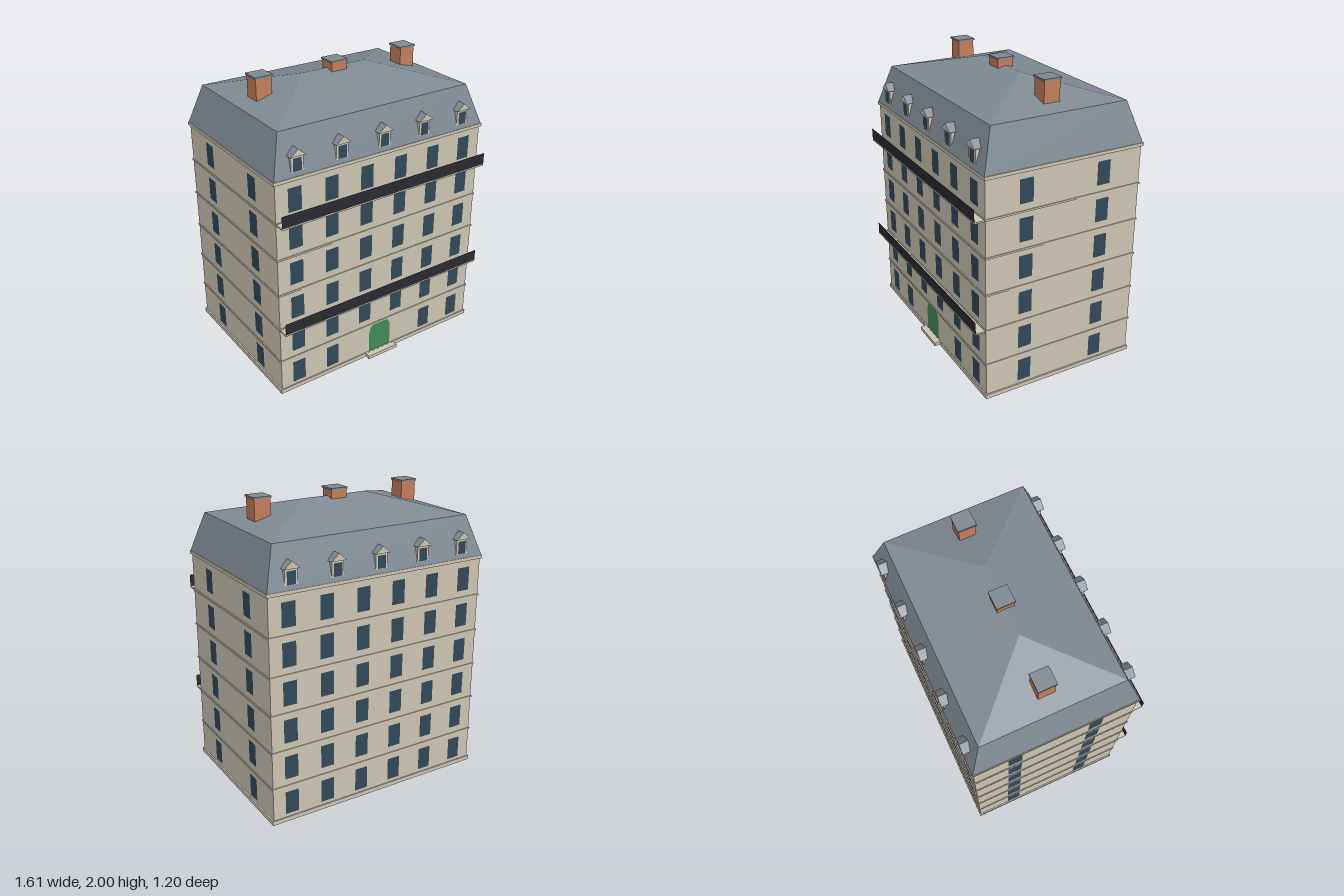
import * as THREE from 'three';

const mat = (name, color, extra = {}) => Object.assign(new THREE.MeshStandardMaterial({ color, ...extra }), { name });

export function createModel() {
  const stone = mat('stone', 0xcdc5b3);
  const glass = mat('window glass', 0x304859);
  const slate = mat('slate', 0x7f8a93, { flatShading: true });
  const brick = mat('brick', 0xc47d5b);
  const green = mat('door green', 0x428a5a);
  const iron = mat('railing iron', 0x292932, { side: THREE.DoubleSide });

  const model = new THREE.Group();
  model.name = 'apartmentBuilding';
  // The building's own axis lies slightly behind the origin because of the balconies
  const house = new THREE.Group();
  house.name = 'house';
  house.position.z = -0.03;
  model.add(house);

  const add = (parent, name, geometry, material, x = 0, y = 0, z = 0) => {
    const mesh = new THREE.Mesh(geometry, material);
    mesh.name = name;
    mesh.position.set(x, y, z);
    parent.add(mesh);
    return mesh;
  };
  // Box given by its bottom height
  const box = (parent, name, material, w, h, d, x, y, z) =>
    add(parent, name, new THREE.BoxGeometry(w, h, d), material, x, y + h / 2, z);

  const W = 0.795, D = 0.5575, FLOOR = 0.2545, FLOORS = 6, GAP = 0.0015;

  // Walls, plinth, doorstep and cornice
  box(house, 'walls', stone, 2 * W, 1.53, 2 * D, 0, 0, 0);
  box(house, 'plinth', stone, 1.61, 0.03, 1.13, 0, 0, 0);
  box(house, 'doorstep', stone, 0.24, 0.025, 0.1, 0, 0.004, 0.555);
  box(house, 'cornice', stone, 1.614, 0.022, 1.136, 0, 1.53, 0);

  // String courses between the floors
  for (let i = 1; i < FLOORS; i++) {
    box(house, 'stringCourse', stone, 1.602, 0.012, 1.127, 0, i * FLOOR - 0.004, 0);
  }

  // Flat windows on all four sides
  const pane = new THREE.PlaneGeometry(0.095, 0.16);
  const addWindow = (name, x, y, z, turn) => {
    add(house, name, pane, glass, x, y, z).rotation.y = turn;
  };
  for (let f = 0; f < FLOORS; f++) {
    const y = 0.133 + f * FLOOR;
    for (let i = 0; i < 6; i++) {
      const x = (i - 2.5) * 0.264;
      const atDoor = f === 0 && (i === 2 || i === 3);
      if (!atDoor) addWindow('frontWindow', x, y, D + GAP, 0);
      addWindow('backWindow', x, y, -D - GAP, Math.PI);
    }
    for (const s of [-1, 1]) for (const z of [-0.278, 0.278]) {
      addWindow('sideWindow', s * (W + GAP), y, z, s * Math.PI / 2);
    }
  }

  // Door with a faceted arch
  const arch = new THREE.Shape();
  arch.moveTo(-0.09, 0.03);
  arch.lineTo(0.09, 0.03);
  arch.lineTo(0.09, 0.18);
  arch.absarc(0, 0.18, 0.09, 0, Math.PI, false);
  arch.closePath();
  add(house, 'door', new THREE.ShapeGeometry(arch, 5), green, 0, 0, D + GAP);

  // Full-width balconies with a flat railing
  for (const f of [2, 5]) {
    const y = f * FLOOR;
    box(house, 'balconySlab', stone, 2 * W, 0.01, 0.08, 0, y - 0.006, 0.59);
    add(house, 'balconyRailing', new THREE.PlaneGeometry(2 * W, 0.081), iron, 0, y + 0.0445, 0.629);
  }

  // Mansard roof: rectangular rings of half-width, height, half-depth
  const rings = [[0.802, 1.55, 0.565], [0.72, 1.82, 0.48], [0.24, 1.945, 0]];
  const corner = ([w, y, d], i) => [[w, y, d], [w, y, -d], [-w, y, -d], [-w, y, d]][i % 4];
  const points = [];
  for (let r = 0; r < 2; r++) for (let i = 0; i < 4; i++) {
    const a = corner(rings[r], i), b = corner(rings[r], i + 1);
    const c = corner(rings[r + 1], i + 1), d = corner(rings[r + 1], i);
    points.push(...a, ...b, ...c);
    if (r === 0 || i % 2 === 1) points.push(...a, ...c, ...d);
  }
  const roof = new THREE.BufferGeometry();
  roof.setAttribute('position', new THREE.Float32BufferAttribute(points, 3));
  roof.computeVertexNormals();
  add(house, 'mansardRoof', roof, slate);

  // Dormers on the front and back slopes
  const gable = new THREE.Shape();
  gable.moveTo(-0.055, 1.68);
  gable.lineTo(0.055, 1.68);
  gable.lineTo(0, 1.727);
  gable.closePath();
  const gableGeometry = new THREE.ExtrudeGeometry(gable, { depth: 0.12, bevelEnabled: false });
  const dormerPane = new THREE.PlaneGeometry(0.06, 0.084);
  for (const turn of [0, Math.PI]) {
    const side = new THREE.Group();
    side.name = turn ? 'backDormers' : 'frontDormers';
    side.rotation.y = turn;
    house.add(side);
    for (let i = -2; i <= 2; i++) {
      const dormer = new THREE.Group();
      dormer.name = 'dormer';
      dormer.position.x = i * 0.318;
      side.add(dormer);
      box(dormer, 'dormerBody', stone, 0.086, 0.11, 0.12, 0, 1.572, 0.4945);
      box(dormer, 'dormerSill', stone, 0.096, 0.01, 0.02, 0, 1.58, 0.5455);
      add(dormer, 'dormerWindow', dormerPane, glass, 0, 1.624, 0.557);
      add(dormer, 'dormerRoof', gableGeometry, [stone, slate], 0, 0, 0.45);
    }
  }

  // Chimneys with slate caps
  for (const x of [-0.557, 0, 0.557]) {
    const base = x ? 1.82 : 1.9;
    box(house, 'chimney', brick, 0.112, 1.99 - base, 0.112, x, base, 0);
    box(house, 'chimneyCap', slate, 0.124, 0.012, 0.124, x, 1.988, 0);
  }
  return model;
}
